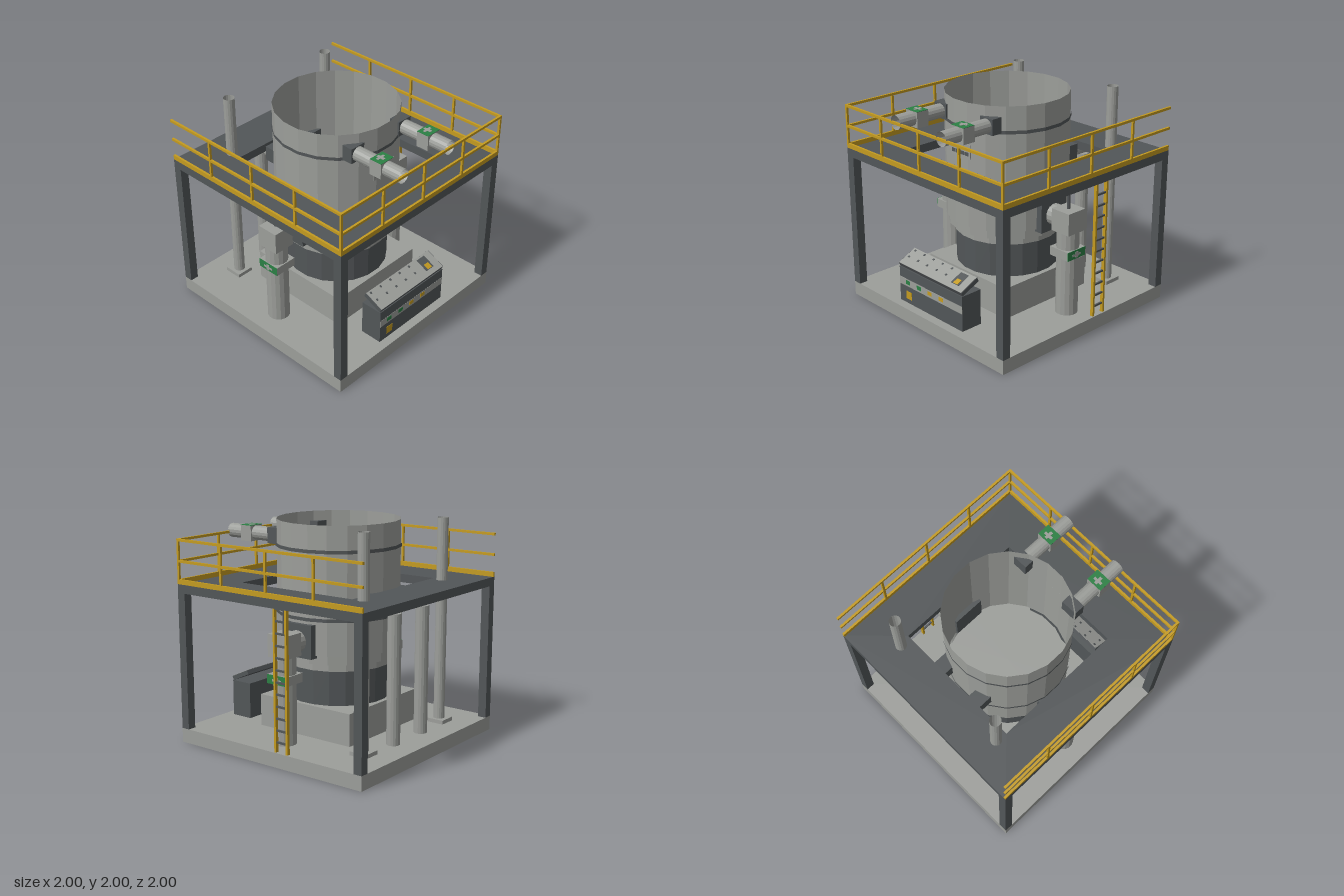
import * as THREE from 'three';

const mat = (name, color, side = THREE.FrontSide) => {
  const m = new THREE.MeshStandardMaterial({ color, side });
  m.name = name;
  return m;
};

export function createModel() {
  const root = new THREE.Group();
  root.name = 'processTankPlatform';
  const light = mat('light grey metal', 0x9c9e9a, THREE.DoubleSide);
  const dark = mat('dark grey steel', 0x525658);
  const yellow = mat('safety yellow', 0xc49b20);
  const green = mat('valve green', 0x2b8044);

  const add = (name, geo, m, x, y, z, parent = root) => {
    const mesh = new THREE.Mesh(geo, m);
    mesh.name = name;
    mesh.position.set(x, y, z);
    parent.add(mesh);
    return mesh;
  };
  // Box given by its minimum and maximum on each axis
  const box = (name, m, x0, x1, y0, y1, z0, z1, parent = root) =>
    add(name, new THREE.BoxGeometry(x1 - x0, y1 - y0, z1 - z0), m,
      (x0 + x1) / 2, (y0 + y1) / 2, (z0 + z1) / 2, parent);
  // Faceted cylinder with flat normals, lying along the chosen axis
  const tube = (name, m, r, len, x, y, z, { axis = 'y', sides = 16, open = false } = {}) => {
    const g = new THREE.CylinderGeometry(r, r, len, sides, 1, open, Math.PI / sides).toNonIndexed();
    g.computeVertexNormals();
    if (axis === 'x') g.rotateZ(Math.PI / 2);
    if (axis === 'z') g.rotateX(Math.PI / 2);
    return add(name, g, m, x, y, z);
  };

  // Base plate on thin rim walls and a cross of ribs, open underneath
  box('basePlate', light, -1, 1, 0.115, 0.13, -1, 1);
  for (const s of [-1, 1]) {
    box('baseRimSide', light, s * 0.994 - 0.006, s * 0.994 + 0.006, 0, 0.115, -1, 1);
    box('baseRimEnd', light, -0.988, 0.988, 0, 0.115, s * 0.994 - 0.006, s * 0.994 + 0.006);
  }
  box('baseRibX', light, -0.988, 0.988, 0, 0.115, -0.006, 0.006);
  box('baseRibZ', light, -0.006, 0.006, 0, 0.115, -0.988, 0.988);

  // Legs and deck with a square opening
  for (const x of [-0.96, 0.96]) for (const z of [-0.96, 0.96])
    box('leg', dark, x - 0.04, x + 0.04, 0.13, 1.365, z - 0.04, z + 0.04);
  const square = (P, h) => new P([[-h, -h], [h, -h], [h, h], [-h, h]].map(p => new THREE.Vector2(...p)));
  const deckShape = square(THREE.Shape, 1);
  deckShape.holes.push(square(THREE.Path, 0.605));
  const deckGeo = new THREE.ExtrudeGeometry(deckShape, { depth: 0.077, bevelEnabled: false });
  deckGeo.rotateX(-Math.PI / 2);
  add('deck', deckGeo, dark, 0, 1.365, 0);

  // Railings along the front and both sides
  const railing = new THREE.Group();
  railing.name = 'railing';
  root.add(railing);
  for (const [y0, y1] of [[1.442, 1.485], [1.633, 1.655], [1.818, 1.84]]) {
    box('frontRail', yellow, -1, 1, y0, y1, 0.98, 1, railing);
    for (const s of [-1, 1])
      box('sideRail', yellow, s * 0.99 - 0.01, s * 0.99 + 0.01, y0, y1, -1, 0.98, railing);
  }
  for (const x of [-0.99, -0.51, -0.012, 0.49, 0.99])
    box('frontPost', yellow, x - 0.01, x + 0.01, 1.485, 1.82, 0.98, 1, railing);
  for (const s of [-1, 1]) for (const z of [0.49, -0.007, -0.51])
    box('sidePost', yellow, s * 0.99 - 0.01, s * 0.99 + 0.01, 1.485, 1.82, z - 0.01, z + 0.01, railing);

  // Ladder on the left side
  for (const z of [-0.09, -0.215])
    box('ladderRail', yellow, 0.96, 0.99, 0.13, 1.365, z - 0.01, z + 0.01);
  for (let i = 0; i < 12; i++)
    box('ladderRung', dark, 0.967, 0.983, 0.21 + i * 0.104, 0.226 + i * 0.104, -0.205, -0.1);

  // Tank: plinth, skirt, stepped bottom and open shell with bands
  box('plinth', light, -0.5, 0.5, 0.13, 0.42, -0.5, 0.5);
  tube('tankSkirt', dark, 0.463, 0.31, 0, 0.575, 0, { sides: 20 });
  tube('tankBottom', light, 0.477, 0.07, 0, 0.765, 0, { sides: 20 });
  tube('tankStep', light, 0.53, 0.08, 0, 0.84, 0, { sides: 20 });
  tube('tankShell', light, 0.549, 1.12, 0, 1.44, 0, { sides: 20, open: true });
  for (const y of [1.192, 1.777])
    tube('tankBand', dark, 0.558, 0.03, 0, y, 0, { sides: 20, open: true });
  box('tankSign', light, -0.13, 0.125, 1.505, 1.635, 0.542, 0.549);
  for (let i = 0; i < 4; i++) for (const y of [1.532, 1.576])
    box('tankSignMark', dark, -0.108 + i * 0.056, -0.062 + i * 0.056, y, y + 0.033, 0.549, 0.551);

  // Side outlets with down pipes, elbow boxes, collars and valve plates
  for (const s of [-1, 1]) {
    const sideBox = (name, m, a, b, ...rest) =>
      box(name, m, Math.min(s * a, s * b), Math.max(s * a, s * b), ...rest);
    sideBox('sideFlange', dark, 0.5, 0.58, 0.855, 1.15, -0.15, 0.15);
    tube('sideDuct', light, 0.095, 0.09, s * 0.615, 1.0, 0, { axis: 'x' });
    sideBox('sideElbow', light, 0.65, 0.85, 0.9, 1.1, -0.1, 0.1);
    tube('sidePipe', light, 0.1, 0.77, s * 0.75, 0.515, 0);
    sideBox('sideCollar', light, 0.643, 0.853, 0.67, 0.75, -0.108, 0.108);
    sideBox('sideValvePlate', green, 0.853, 0.856, 0.67, 0.75, -0.108, 0.108);
    sideBox('sideValveMark', light, 0.856, 0.858, 0.695, 0.715, -0.05, 0.05);
    sideBox('sideValveMarkStem', light, 0.856, 0.859, 0.68, 0.735, -0.018, 0.012);
    tube('hangerRod', dark, 0.016, 0.265, s * 0.75, 1.2325, 0, { sides: 8 });
  }

  // Front pipes through the top of the shell
  for (const s of [-1, 1]) {
    const x = s * 0.29;
    box('frontNozzle', dark, x - 0.075, x + 0.075, 1.77, 1.91, 0.415, 0.515);
    tube('frontPipe', light, 0.064, 0.485, x, 1.84, 0.7575, { axis: 'z', open: true });
    box('frontCollar', light, x - 0.075, x + 0.075, 1.767, 1.907, 0.71, 0.83);
    box('frontValvePlate', green, x - 0.075, x + 0.075, 1.907, 1.91, 0.71, 0.83);
    box('frontValveMark', light, x - 0.042, x + 0.042, 1.91, 1.912, 0.745, 0.77);
    box('frontValveMarkStem', light, x - 0.014, x + 0.014, 1.91, 1.913, 0.725, 0.8);
  }

  // Back outlets, down pipes and tall vent pipes on foot pads
  for (const s of [-1, 1]) {
    box('backNozzle', dark, s * 0.21 - 0.068, s * 0.21 + 0.068, 1.275, 1.415, -0.605, -0.46);
    tube('backDuct', light, 0.06, 0.155, s * 0.21, 1.34, -0.68, { axis: 'z' });
    tube('backPipe', light, 0.06, 1.15, s * 0.21, 0.705, -0.75);
    tube('ventPipe', light, 0.05, 1.87, s * 0.585, 1.065, -0.705, { open: true });
    box('ventFoot', light, s * 0.585 - 0.08, s * 0.585 + 0.08, 0.13, 0.165, -0.795, -0.625);
  }

  // Control console
  box('consoleBody', dark, -0.42, 0.415, 0.13, 0.46, 0.71, 0.918);
  box('consoleStrip', light, -0.42, 0.415, 0.295, 0.365, 0.918, 0.92);
  [[-0.305, green], [-0.155, green], [-0.01, yellow], [0.14, yellow]].forEach(([x, m]) =>
    box('consoleButton', m, x - 0.028, x + 0.028, 0.315, 0.352, 0.92, 0.922));
  box('consoleSwitch', yellow, -0.335, -0.26, 0.172, 0.247, 0.918, 0.921);

  // Sloping console desk with knobs and a stop button
  const desk = new THREE.Group();
  desk.name = 'consoleDesk';
  desk.position.set(-0.003, 0.523, 0.828);
  desk.rotation.x = 0.43;
  root.add(desk);
  box('deskSlab', dark, -0.417, 0.417, -0.022, 0.017, -0.1, 0.1, desk);
  box('deskPlate', light, -0.412, 0.412, 0.017, 0.02, -0.099, 0.099, desk);
  for (let i = 0; i < 5; i++) for (const z of [-0.075, 0.005])
    box('deskKnob', dark, -0.385 + i * 0.125, -0.365 + i * 0.125, 0.02, 0.022, z - 0.01, z + 0.01, desk);
  box('deskStopPlate', dark, 0.235, 0.335, 0.02, 0.022, -0.08, 0.05, desk);
  box('deskStopButton', yellow, 0.26, 0.315, 0.022, 0.024, -0.01, 0.045, desk);

  return root;
}
